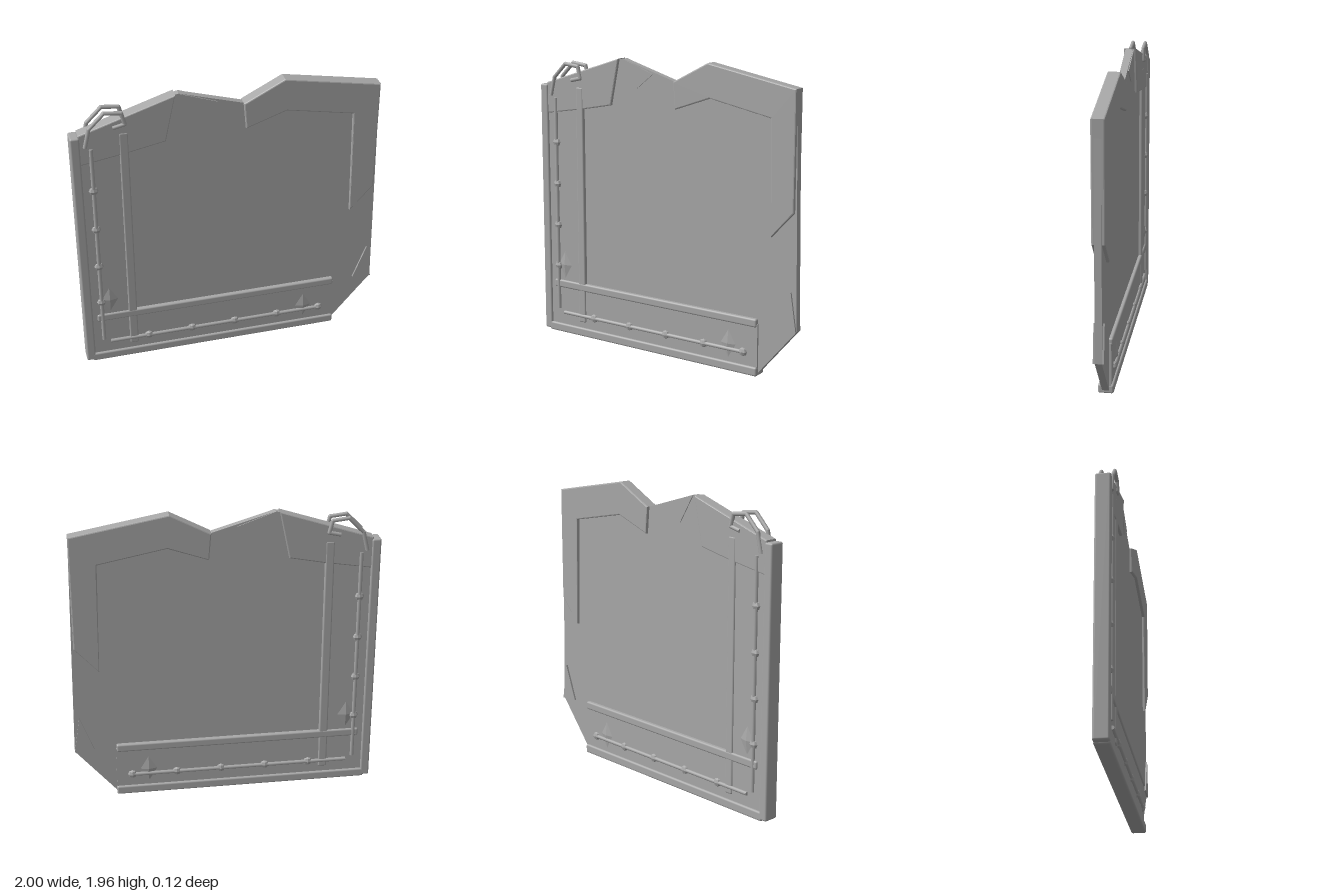
import * as THREE from 'three';
import { RoundedBoxGeometry } from 'three/addons/geometries/RoundedBoxGeometry.js';

const grey = new THREE.MeshStandardMaterial({ color: 0xa8a8a8 });
grey.name = 'grey';
const flatGrey = grey;

export function createModel() {
  const model = new THREE.Group();

  const add = (name, geo, x = 0, y = 0, z = 0, parent = model) => {
    const mesh = new THREE.Mesh(geo, flatGrey);
    mesh.name = name;
    mesh.position.set(x, y, z);
    parent.add(mesh);
    return mesh;
  };

  // Slab from a 2D outline, centred on z = 0, with an optional inset bevel
  const slab = (name, pts, half, bevel = 0) => {
    const shape = new THREE.Shape(pts.map(([x, y]) => new THREE.Vector2(x, y)));
    const geo = new THREE.ExtrudeGeometry(shape, {
      depth: 2 * (half - bevel), bevelEnabled: bevel > 0, bevelSize: bevel,
      bevelThickness: bevel, bevelOffset: -bevel, bevelSegments: 2,
    });
    return add(name, geo, 0, 0, -(half - bevel));
  };

  // Rounded bar given by its front rectangle
  const bar = (name, x0, x1, y0, y1, half, r) =>
    add(name, new RoundedBoxGeometry(x1 - x0, y1 - y0, 2 * half, 2, r), (x0 + x1) / 2, (y0 + y1) / 2);

  // Thin core sheet
  slab('coreSheet', [[-0.97, 0.02], [0.73, 0.02], [1, 0.34], [0.97, 1.83], [0.345, 1.94],
    [0.085, 1.825], [-0.32, 1.945], [-0.345, 1.94], [-0.97, 1.73]], 0.022);

  // Raised border panels
  slab('leftPanel', [[-0.97, 0.02], [-0.645, 0.02], [-0.645, 1.62], [-0.97, 1.6]], 0.036);
  slab('bottomPanel', [[-0.97, 0.02], [0.73, 0.02], [0.73, 0.345], [-0.97, 0.345]], 0.036);

  // Broken corner plates
  slab('upperLeftCorner', [[-0.95, 1.54], [-0.64, 1.59], [-0.41, 1.635], [-0.345, 1.945],
    [-0.95, 1.75]], 0.042, 0.008);
  slab('upperRightCorner', [[0.085, 1.825], [0.1, 1.65], [0.36, 1.74], [0.8, 1.655], [0.815, 0.92],
    [0.972, 1.09], [0.972, 1.845], [0.345, 1.96]], 0.042, 0.008);

  // Small triangular chips
  slab('topChip', [[-0.32, 1.945], [-0.205, 1.76], [-0.08, 1.86]], 0.028);
  slab('sideChip', [[1, 0.34], [0.96, 0.59], [0.87, 0.35]], 0.034);

  // Edge strips and crossing ribs
  bar('leftEdge', -1, -0.94, 0.01, 1.738, 0.05, 0.012);
  bar('bottomEdge', -0.96, 0.732, 0, 0.06, 0.05, 0.012);
  bar('verticalRib', -0.7, -0.642, 0.1, 1.735, 0.045, 0.01);
  bar('horizontalRib', -0.91, 0.725, 0.323, 0.378, 0.047, 0.012);

  // Ornaments repeated on the front and back
  const beadGeo = new THREE.SphereGeometry(1, 8, 4).toNonIndexed();
  beadGeo.computeVertexNormals();
  const gemGeo = new THREE.OctahedronGeometry(1);
  const up = new THREE.Vector3(0, 1, 0);
  const hookPoints = [[-0.91, 1.665], [-0.88, 1.79], [-0.785, 1.885], [-0.68, 1.873],
    [-0.66, 1.795], [-0.735, 1.778]].map(([x, y]) => new THREE.Vector3(x, y, 0));

  for (const side of [1, -1]) {
    const face = new THREE.Group();
    face.name = side > 0 ? 'frontOrnaments' : 'backOrnaments';
    model.add(face);

    // Straight round rod between two points
    const rod = (name, a, b, r, z) => {
      const dir = b.clone().sub(a);
      const mid = a.clone().add(b).multiplyScalar(0.5);
      const mesh = add(name, new THREE.CylinderGeometry(r, r, dir.length(), 8), mid.x, mid.y, side * z, face);
      mesh.quaternion.setFromUnitVectors(up, dir.normalize());
    };
    rod('verticalRod', new THREE.Vector3(-0.875, 0.17, 0), new THREE.Vector3(-0.875, 1.65, 0), 0.013, 0.04);
    rod('horizontalRod', new THREE.Vector3(-0.83, 0.145, 0), new THREE.Vector3(0.63, 0.145, 0), 0.013, 0.04);

    // Beads threaded on both rods
    const bead = (x, y) => add('bead', beadGeo, x, y, side * 0.036, face).scale.set(0.031, 0.029, 0.022);
    for (let i = 0; i < 4; i++) bead(-0.875, 0.48 + i * 0.289);
    for (let i = 0; i < 5; i++) bead(-0.57 + i * 0.299, 0.145);

    // Shallow diamonds
    for (const [x, y] of [[-0.82, 0.49], [0.515, 0.18]]) {
      add('diamond', gemGeo, x, y, side * 0.034, face).scale.set(0.065, 0.108, 0.014);
    }

    // Angular wire hook
    for (let i = 0; i < hookPoints.length - 1; i++) {
      rod('hookSegment', hookPoints[i], hookPoints[i + 1], 0.013, 0.042);
      if (i > 0) add('hookJoint', new THREE.SphereGeometry(0.013, 8, 6), hookPoints[i].x, hookPoints[i].y, side * 0.042, face);
    }
  }
  return model;
}
